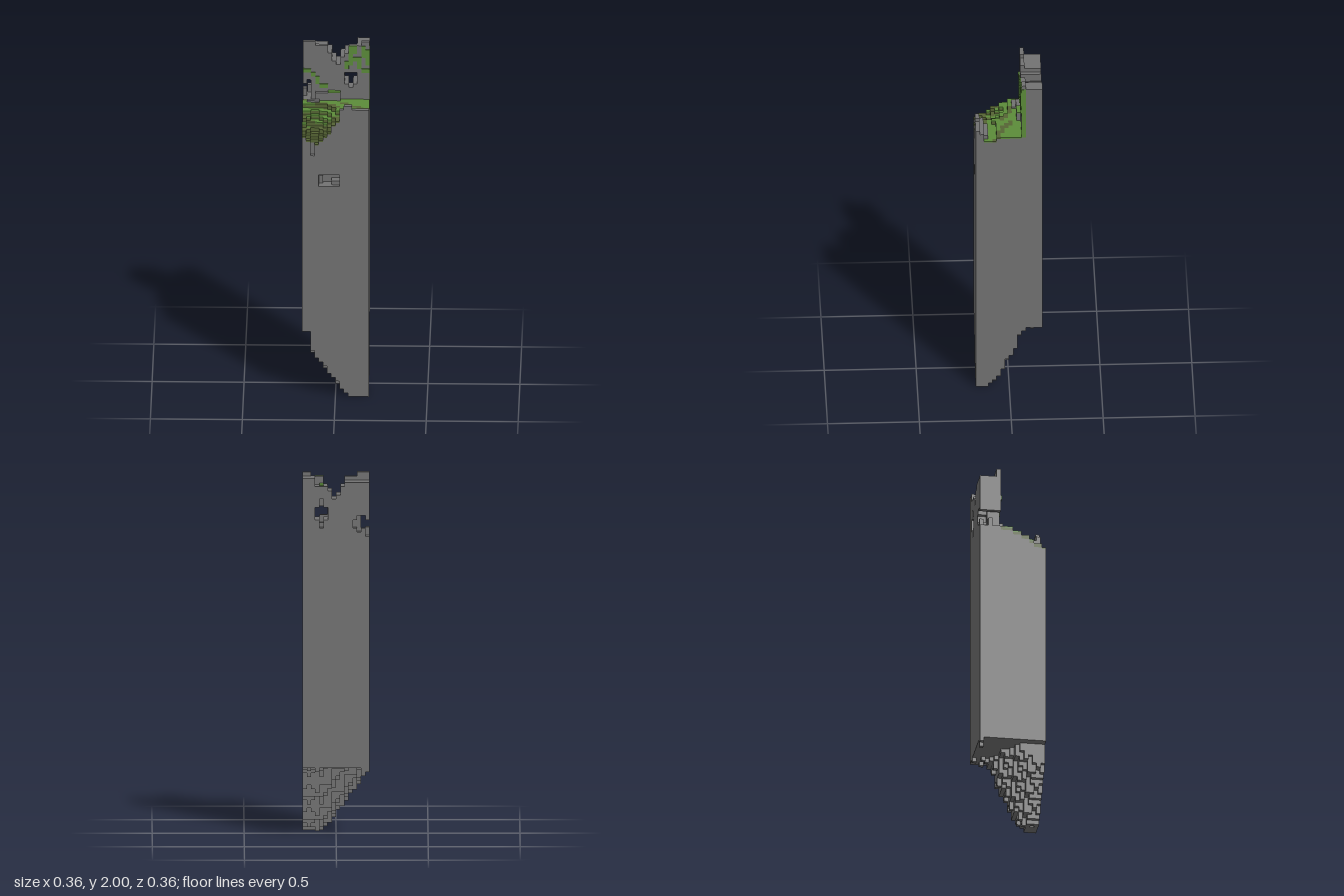
import * as THREE from 'three';
import { mergeGeometries } from 'three/addons/utils/BufferGeometryUtils.js';

// The tower sits on a 16 x 88 x 16 block grid; one block is 1/44 unit.
const V = 1 / 44;

const stone = new THREE.MeshStandardMaterial({ color: 0x737373 });
stone.name = 'stone grey';
const grass = new THREE.MeshStandardMaterial({ color: 0x5c8c3a });
grass.name = 'grass green';
const moss = new THREE.MeshStandardMaterial({ color: 0x566534 });
moss.name = 'moss olive';

export function createModel() {
  const model = new THREE.Group();
  model.name = 'ruinedTower';

  // Collects boxes by part and colour, in grid coordinates
  const parts = new Map();
  function box(name, mat, i0, j0, k0, i1, j1, k1) {
    if (j1 <= j0) return;
    const g = new THREE.BoxGeometry((i1 - i0) * V, (j1 - j0) * V, (k1 - k0) * V);
    g.translate(((i0 + i1) / 2 - 8) * V, ((j0 + j1) / 2) * V, ((k0 + k1) / 2 - 8) * V);
    if (!parts.has(name)) parts.set(name, { mat, list: [] });
    parts.get(name).list.push(g);
  }

  // Shaft with a recessed window in the front
  box('shaft', stone, 0, 17, 0, 16, 55, 16);
  box('shaft', stone, 0, 55, 0, 16, 58, 13);
  box('shaft', stone, 0, 55, 13, 4, 58, 16);
  box('shaft', stone, 9, 55, 13, 16, 58, 16);
  box('shaft', stone, 0, 58, 0, 16, 63, 16);
  box('windowRubble', stone, 4, 55, 13, 5, 57, 14);
  box('windowRubble', stone, 7, 55, 13, 9, 56, 15);
  box('windowMoss', moss, 6, 57, 13, 7, 58, 13.3);

  // Broken underside, deepest at the front corner
  const alongX = [17, 17, 12, 10, 9, 8, 6, 5, 4, 2, 1, 0, 0, 0, 0, 0];
  const alongZ = [0, 0, 0, 1, 2, 3, 5, 8, 9, 11, 15, 16, 17, 17, 17, 17];
  for (let i = 0; i < 16; i++) {
    for (let d = 0; d < 16; d++) {
      const inside = i < 15 && d > 0;
      const rough = inside ? ((i * 7 + d * 5 + i * d) % 3) - 1 : 0;
      const low = Math.max(0, Math.min(17, alongX[i] + alongZ[d] + rough));
      box('brokenUnderside', stone, i, low, 15 - d, i + 1, 17, 16 - d);
    }
  }
  box('brokenUnderside', stone, 0, 16, 0, 1, 17, 1);
  box('brokenUnderside', stone, 1, 15, 0, 2, 17, 1);

  // Overgrown floor stepping down to the front left, with a parapet front right
  const frontEdge = [68, 67, 63, 66, 67, 68, 69, 71, 72, 75, 76, 76, 75, 75, 75, 75];
  for (let i = 0; i < 16; i++) {
    for (let k = 5; k < 16; k++) {
      const base = i === 2 ? 66 : frontEdge[i];
      let top, kind;
      if (i < 9) {
        const rise = Math.min(1, (15 - k) / 8);
        top = k === 15 ? frontEdge[i] : Math.round(base + (73 - base) * rise);
        const band = (((i - 2 * k) % 11) + 11) % 11;
        kind = k >= 13 || band < 3 ? moss : grass;
      } else if (k >= 14 || (k === 13 && i > 9 && i < 15)) {
        top = k === 15 ? frontEdge[i] : k === 14 ? 74 : 73;
        kind = stone;
      } else {
        top = k >= 11 ? 72 : 73;
        const across = k - 7 - (i - 9) * 0.6;
        kind = across >= -0.6 && across < 1 ? moss : grass;
      }
      if (kind === stone || top <= 63) {
        box('parapet', stone, i, 63, k, i + 1, top, k + 1);
        continue;
      }
      const capName = kind === moss ? 'mossFloor' : 'grassFloor';
      const mid = i < 9 && k < 15 ? top - 1 : top - 0.35;
      box('floorStone', stone, i, 63, k, i + 1, mid, k + 1);
      box('mossRisers', moss, i, mid, k, i + 1, top - 0.35, k + 1);
      box(capName, kind, i, top - 0.35, k, i + 1, top, k + 1);
    }
  }
  // Ledge at the foot of the wall and loose rubble
  box('ledge', stone, 3, 73, 5, 9, 75, 6);
  box('ledge', stone, 1, 73, 6, 4, 73.4, 7);
  box('ledgeGrass', grass, 6, 75, 5, 9, 75.3, 6);

  // Ruined back wall, column by column, with gaps right through it
  const wallTop = [88, 88, 88, 87, 87, 87, 85, 83, 82, 84, 85, 87, 87, 87, 88, 88];
  const gaps = { 0: [73, 77], 1: [73, 78], 10: [77, 80], 11: [76, 80], 12: [77, 80] };
  const backGaps = { 2: [74, 78], 3: [75, 77], 11: [75, 82] };
  function wallColumn(i, k0, k1, top, gap) {
    const [g0, g1] = gap || [73, 73];
    box('backWall', stone, i, 63, k0, i + 1, g0, k1);
    box('backWall', stone, i, g1, k0, i + 1, top, k1);
  }
  for (let i = 0; i < 16; i++) {
    const limit = i < 6 ? 86 : i === 11 || i === 12 ? 85 : 87;
    const rear = Math.min(wallTop[i], limit);
    wallColumn(i, 0, 2, rear, backGaps[i] || gaps[i]);
    wallColumn(i, 2, 4, rear, gaps[i]);
    wallColumn(i, 4, 5, wallTop[i], gaps[i]);
  }
  box('wallRubble', stone, 0, 73, 2, 1, 75, 3);
  box('wallRubble', stone, 1, 73, 0, 2, 75, 1);

  // Creepers on the wall: front patches as [i0, j0, i1, j1]
  const creepers = [
    [11, 85, 13, 87], [11, 82, 12, 85], [12, 83, 14, 84], [13, 81, 14, 83],
    [14, 84, 15, 87], [15, 82, 16, 86], [10, 81, 11, 83], [14, 80, 16, 81],
    [0, 80, 2, 81], [2, 79, 3, 80], [3, 77, 4, 79], [4, 76, 6, 77],
  ];
  for (const [i0, j0, i1, j1] of creepers) {
    box('creepers', grass, i0, j0, 5, i1, j1, 5.3);
  }
  box('creepers', grass, 15.95, 73, 4, 16.05, 87, 5);
  box('creepers', grass, 11, 85, 1, 12, 85.3, 4);

  for (const [name, { mat, list }] of parts) {
    const mesh = new THREE.Mesh(mergeGeometries(list), mat);
    mesh.name = name;
    model.add(mesh);
  }
  return model;
}
